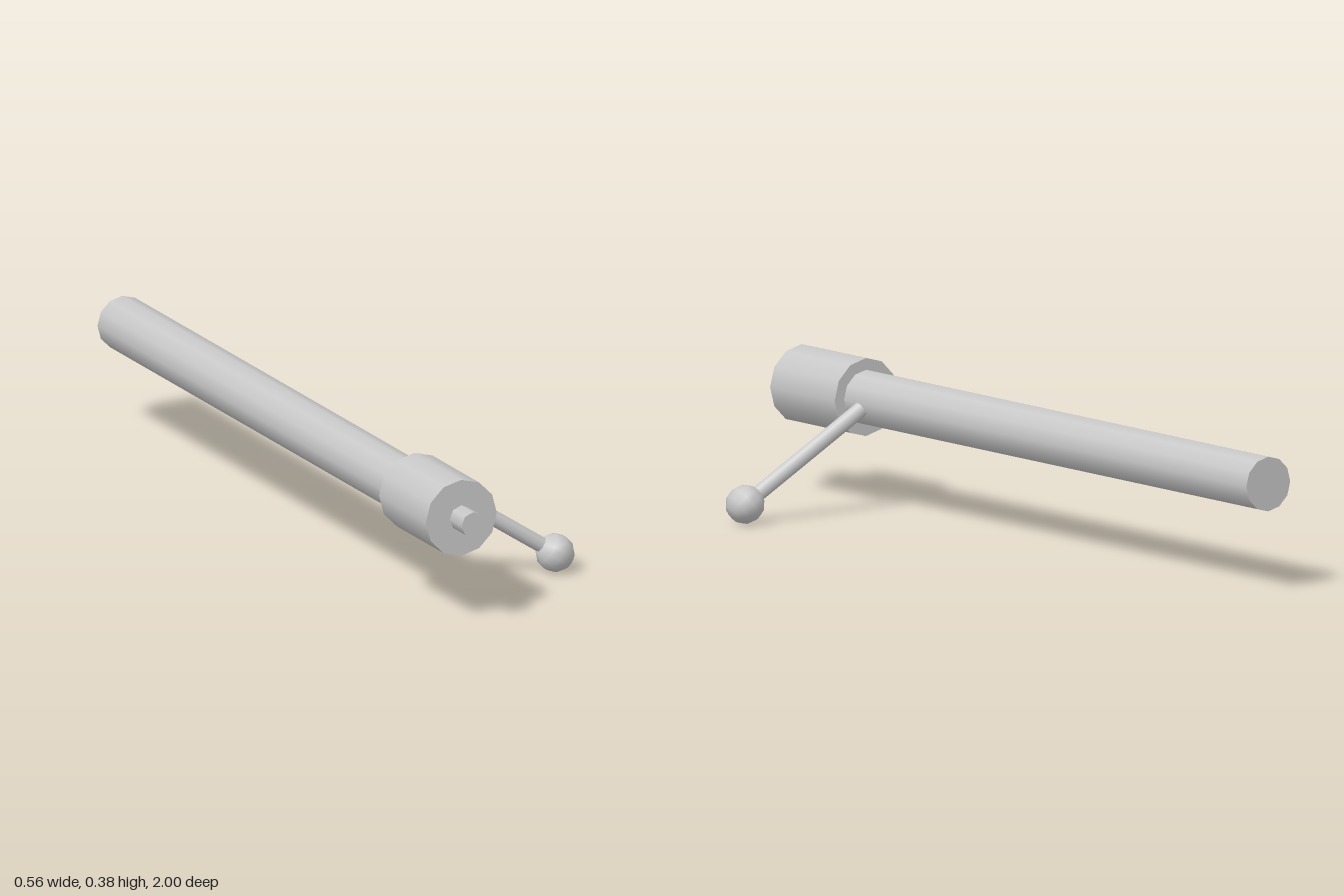
import * as THREE from 'three';

export function createModel() {
  const group = new THREE.Group();
  const steel = new THREE.MeshStandardMaterial({ color: 0xc8c8c8 });
  steel.name = 'light steel grey';

  const add = (name, geometry) => {
    const mesh = new THREE.Mesh(geometry, steel);
    mesh.name = name;
    group.add(mesh);
    return mesh;
  };

  // Cylinders lying along z on the shared bolt axis
  const axial = (name, radius, z0, z1, sides) => {
    const geometry = new THREE.CylinderGeometry(radius, radius, z1 - z0, sides);
    geometry.rotateX(Math.PI / 2);
    add(name, geometry).position.set(-0.182, 0.276, (z0 + z1) / 2);
  };
  axial('boltBody', 0.07, -1, 0.667, 12);
  axial('rearCollar', 0.1, 0.665, 0.932, 12);
  axial('firingPin', 0.033, 0.93, 1, 8);

  // Slanted handle rod, ending inside the knob
  const start = new THREE.Vector3(-0.098, 0.266, 0.576);
  const end = new THREE.Vector3(0.232, 0.049, 0.628);
  const direction = end.clone().sub(start);
  const tilt = new THREE.Quaternion().setFromUnitVectors(
    new THREE.Vector3(0, 1, 0), direction.clone().normalize());

  const rod = add('handleRod', new THREE.CylinderGeometry(0.0205, 0.0205, direction.length(), 8));
  rod.position.copy(start).lerp(end, 0.5);
  rod.quaternion.copy(tilt);

  // Ball knob, with its poles along the handle
  const knob = add('handleKnob', new THREE.SphereGeometry(0.05, 12, 6));
  knob.position.copy(end);
  knob.quaternion.copy(tilt);

  return group;
}
